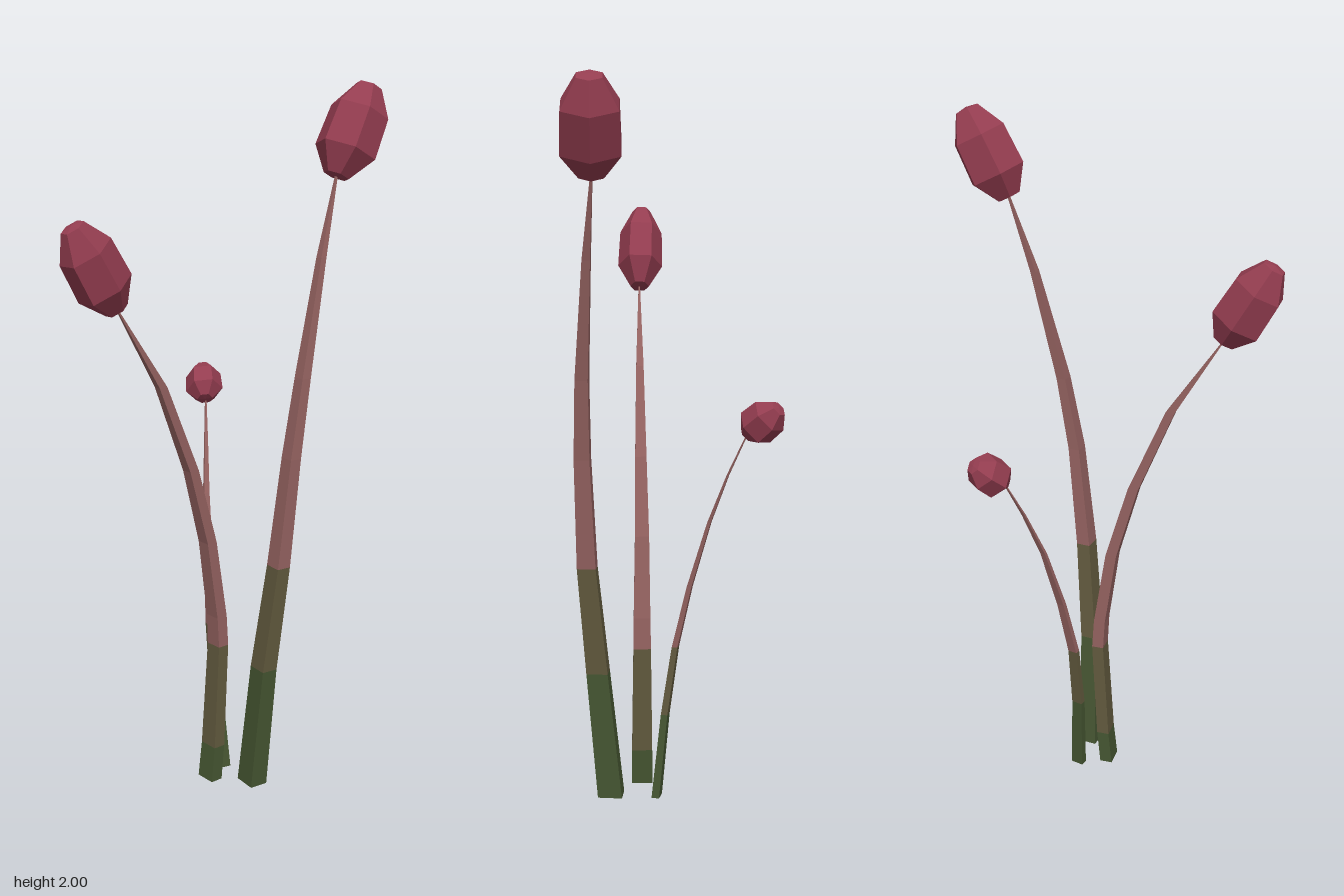
import * as THREE from 'three';

const UP = new THREE.Vector3(0, 1, 0);
const mat = (name, color) => Object.assign(new THREE.MeshStandardMaterial({ color }), { name });

// Four-sided stem along a path, narrowing to a point; green, then olive, then rose upwards
function makeStem(path, { width, depth, depthTaper, yaw }, materials) {
  const base = path[0].y, height = path.at(-1).y - base;
  const rings = path.map(p => {
    const left = 1 - (p.y - base) / height;
    const w = Math.max(width * left ** 0.57, 0.004) / 2;
    const d = Math.max(depth * left ** depthTaper, 0.004) / 2;
    return [[-w, d], [w, d], [w, -d], [-w, -d]].map(([x, z]) =>
      new THREE.Vector3(x, 0, z).applyAxisAngle(UP, yaw).add(p));
  });
  const points = [];
  const quad = (a, b, c, d) => points.push(a, b, c, a, c, d);
  const geo = new THREE.BufferGeometry();
  for (let i = 0; i < rings.length - 1; i++) {
    const start = points.length;
    const lo = rings[i], hi = rings[i + 1];
    if (i === 0) quad(lo[3], lo[2], lo[1], lo[0]);
    for (let j = 0; j < 4; j++) {
      const k = (j + 1) % 4;
      quad(lo[j], lo[k], hi[k], hi[j]);
    }
    geo.addGroup(start, points.length - start, Math.min(i, 2));
  }
  geo.setFromPoints(points);
  geo.computeVertexNormals();
  const stem = new THREE.Mesh(geo, materials);
  stem.name = 'stem';
  return stem;
}

// Six-sided faceted bud running from one point to another
function makeBud({ from, to, rx, rz, turn }, material) {
  const axis = to.clone().sub(from);
  const profile = [[0, 0], [0.42, 0.01], [1, 0.27], [0.95, 0.7], [0.42, 0.98], [0, 1]]
    .map(p => new THREE.Vector2(...p));
  const geo = new THREE.LatheGeometry(profile, 6).toNonIndexed();
  geo.rotateY(turn).scale(rx, axis.length(), rz);
  geo.computeVertexNormals();
  const bud = new THREE.Mesh(geo, material);
  bud.name = 'bud';
  bud.position.copy(from);
  bud.quaternion.setFromUnitVectors(UP, axis.normalize());
  return bud;
}

export function createModel() {
  const model = new THREE.Group();
  const stemMats = [mat('stem green', 0x465632), mat('stem olive', 0x625a3e), mat('stem rose', 0x946260)];
  const budMat = mat('bud crimson', 0x943d50);
  const v = (x, y, z) => new THREE.Vector3(x, y, z);

  const addFlower = (name, path, stem, bud) => {
    const flower = new THREE.Group();
    flower.name = name;
    flower.add(makeStem(path, stem, stemMats), makeBud(bud, budMat));
    model.add(flower);
  };

  // Tall flower leaning back
  addFlower('tallFlower',
    [v(0.176, 0.01, -0.077), v(0.21, 0.38, -0.086), v(0.237, 0.69, -0.112), v(0.246, 1, -0.145),
      v(0.244, 1.22, -0.184), v(0.227, 1.54, -0.261), v(0.208, 1.78, -0.335)],
    { width: 0.069, depth: 0.054, depthTaper: 0.57, yaw: -0.12 },
    { from: v(0.21, 1.75, -0.325), to: v(0.21, 1.99, -0.445), rx: 0.088, rz: 0.085, turn: 0 });

  // Middle flower bending forward
  addFlower('middleFlower',
    [v(0.086, 0.015, 0.008), v(0.086, 0.12, -0.003), v(0.085, 0.43, -0.021), v(0.085, 0.52, -0.016),
      v(0.084, 0.75, 0.018), v(0.086, 0.97, 0.08), v(0.087, 1.22, 0.183), v(0.087, 1.45, 0.328)],
    { width: 0.061, depth: 0.037, depthTaper: 0.2, yaw: 0 },
    { from: v(0.086, 1.44, 0.323), to: v(0.078, 1.665, 0.453), rx: 0.066, rz: 0.08, turn: Math.PI / 6 });

  // Small flower arching out to the side
  addFlower('smallFlower',
    [v(0.045, 0.005, -0.078), v(0.02, 0.25, -0.07), v(-0.009, 0.45, -0.074), v(-0.048, 0.63, -0.097),
      v(-0.1, 0.82, -0.131), v(-0.148, 0.96, -0.17), v(-0.193, 1.07, -0.206)],
    { width: 0.022, depth: 0.038, depthTaper: 0.57, yaw: -0.25 },
    { from: v(-0.195, 1.075, -0.205), to: v(-0.275, 1.155, -0.262), rx: 0.056, rz: 0.054, turn: 0.3 });

  return model;
}
